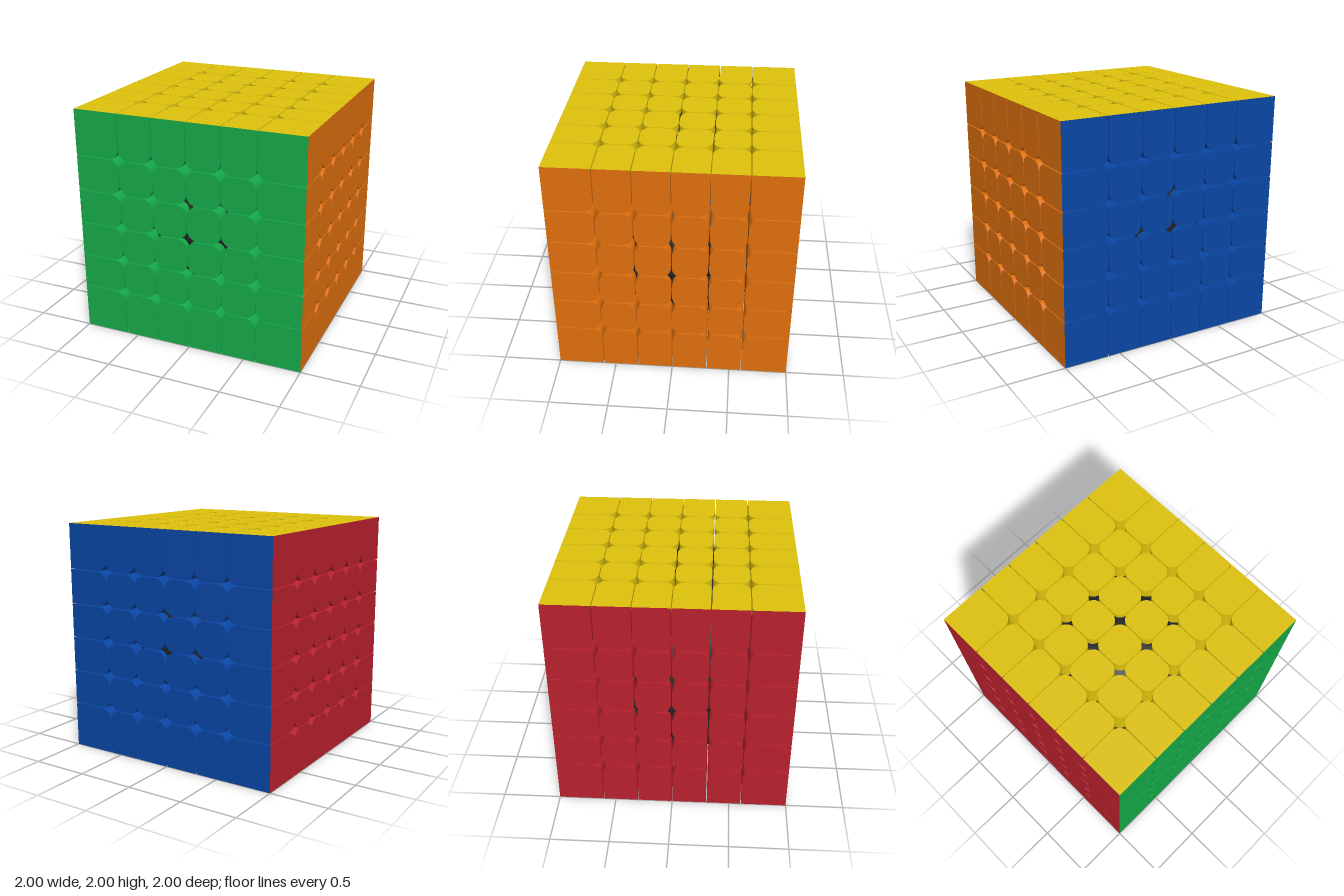
import * as THREE from 'three';
import { toCreasedNormals } from 'three/addons/utils/BufferGeometryUtils.js';

const CUTS = [-1, -0.605, -0.302, 0, 0.302, 0.605, 1]; // layer boundaries
const GAP = 0.004; // half the slot between layers
const DEPTH = 0.3; // how far a tile reaches inwards
const RADIUS = 0.085; // rounding of the inner corners

// Rectangle whose corners are rounded except where they touch the cube's edge
function tileShape(x0, x1, y0, y1) {
  const corners = [[x0, y0], [x1, y0], [x1, y1], [x0, y1]];
  const shape = new THREE.Shape();
  corners.forEach(([x, y], i) => {
    const r = Math.max(Math.abs(x), Math.abs(y)) > 0.999 ? 0 : RADIUS;
    const toward = ([px, py]) => [x + Math.sign(px - x) * r, y + Math.sign(py - y) * r];
    const a = toward(corners[(i + 3) % 4]);
    const b = toward(corners[(i + 1) % 4]);
    if (i === 0) shape.moveTo(...a);
    else shape.lineTo(...a);
    if (r > 0) {
      // circular arc as a cubic curve
      const k = 0.5523;
      const ease = ([px, py]) => [px + (x - px) * k, py + (y - py) * k];
      shape.bezierCurveTo(...ease(a), ...ease(b), ...b);
    }
  });
  shape.closePath();
  return shape;
}

// Extruded tile, mitred along the cube's edges so neighbouring faces meet
function tileGeometry(col, row) {
  const side = (i) => (Math.abs(CUTS[i]) === 1 ? 0 : GAP);
  const shape = tileShape(
    CUTS[col] + side(col), CUTS[col + 1] - side(col + 1),
    CUTS[row] + side(row), CUTS[row + 1] - side(row + 1));
  const geo = new THREE.ExtrudeGeometry(shape, { depth: DEPTH, bevelEnabled: false, curveSegments: 8 });
  geo.translate(0, 0, 1 - DEPTH);
  const p = geo.attributes.position;
  for (let i = 0; i < p.count; i++) {
    const z = p.getZ(i);
    if (Math.abs(p.getX(i)) > 0.999) p.setX(i, Math.sign(p.getX(i)) * z);
    if (Math.abs(p.getY(i)) > 0.999) p.setY(i, Math.sign(p.getY(i)) * z);
  }
  return toCreasedNormals(geo, 0.6);
}

export function createModel() {
  const model = new THREE.Group();
  model.name = 'puzzleCube';
  const cube = new THREE.Group();
  cube.position.y = 1;
  model.add(cube);

  // Dark ball that shows through the slots
  const core = new THREE.Mesh(
    new THREE.SphereGeometry(0.95, 64, 40),
    new THREE.MeshStandardMaterial({ color: 0x222222 }));
  core.name = 'core';
  cube.add(core);

  // One set of 6 x 6 tiles, reused on every face
  const tiles = [];
  for (let row = 0; row < 6; row++)
    for (let col = 0; col < 6; col++) tiles.push(tileGeometry(col, row));

  const q = Math.PI / 2;
  const faces = [
    ['frontFace', 0x15a848, 0, 0],
    ['backFace', 0x0a46a5, 0, 2 * q],
    ['leftFace', 0xde6f0d, 0, q],
    ['rightFace', 0xb8202e, 0, -q],
    ['topFace', 0xdcc00c, -q, 0],
    ['bottomFace', 0xe6e6e6, q, 0],
  ];
  for (const [name, color, rx, ry] of faces) {
    const face = new THREE.Group();
    face.name = name;
    face.rotation.set(rx, ry, 0);
    const material = new THREE.MeshStandardMaterial({ color });
    tiles.forEach((geo) => {
      const tile = new THREE.Mesh(geo, material);
      tile.name = 'tile';
      face.add(tile);
    });
    cube.add(face);
  }
  return model;
}
